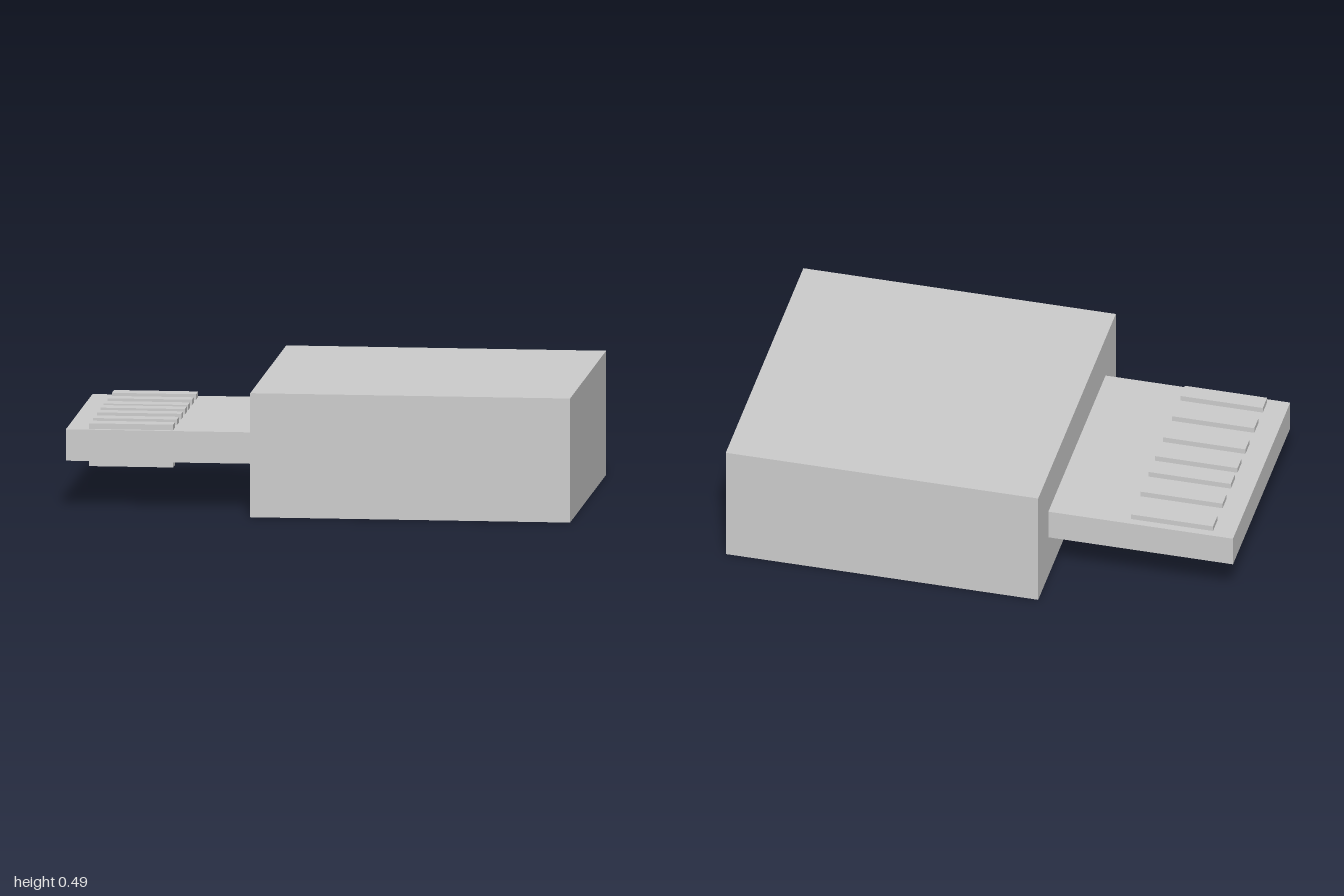
import * as THREE from 'three';

export function createModel() {
  const model = new THREE.Group();
  const material = new THREE.MeshStandardMaterial({ color: 0xcccccc, flatShading: true });

  // Adds a box given by its minimum and maximum corners
  function addBox(parent, name, [x0, y0, z0], [x1, y1, z1]) {
    const mesh = new THREE.Mesh(new THREE.BoxGeometry(x1 - x0, y1 - y0, z1 - z0), material);
    mesh.position.set((x0 + x1) / 2, (y0 + y1) / 2, (z0 + z1) / 2);
    mesh.name = name;
    parent.add(mesh);
  }

  // Main housing and the flat tongue projecting from its side
  addBox(model, 'housing', [-0.257, 0, -0.63], [1, 0.49, 0.628]);
  addBox(model, 'tongue', [-1, 0.186, -0.466], [-0.257, 0.31, 0.462]);

  // Raised contact strips on the top and underside of the tongue
  const contacts = new THREE.Group();
  contacts.name = 'contacts';
  const strips = [
    [-0.435, -0.36], [-0.28, -0.216], [-0.146, -0.077], [-0.038, 0.03],
    [0.09, 0.155], [0.234, 0.304], [0.372, 0.442],
  ];
  for (const [z0, z1] of strips) {
    addBox(contacts, 'topContact', [-0.912, 0.31, z0], [-0.581, 0.332, z1]);
    addBox(contacts, 'bottomContact', [-0.912, 0.163, z0], [-0.581, 0.186, z1]);
  }
  model.add(contacts);

  return model;
}
